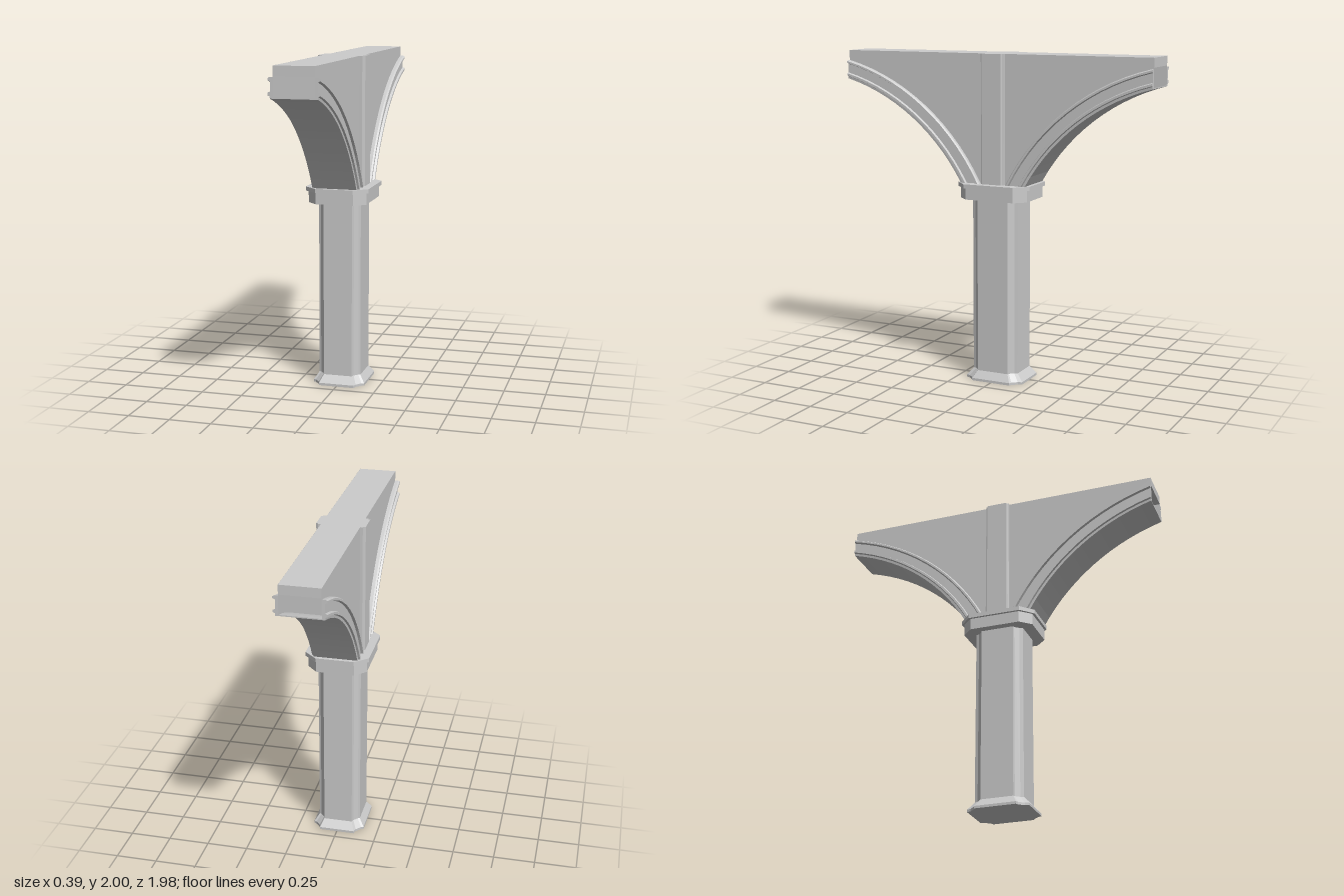
import * as THREE from 'three';

const solid = new THREE.MeshStandardMaterial({ color: 0xcccccc, flatShading: true });
const thin = new THREE.MeshStandardMaterial({ color: 0xcccccc, flatShading: true, side: THREE.DoubleSide });

// Arch circle in the z-y plane, the wall's end and the springing height
const ARCH = { z: 1.323, y: 0.59, r: 1.28 };
const END = 0.99, SPRING = 1.225, WALL = 0.115, STEPS = 14;

// Point on the arch at offset d outside the intrados, t from springing to end
function archPoint(d, t) {
  const r = ARCH.r + d;
  const a0 = Math.asin((SPRING - ARCH.y) / r);
  const a1 = Math.acos((ARCH.z - END) / r);
  const a = a0 + (a1 - a0) * t;
  return [ARCH.z - r * Math.cos(a), ARCH.y + r * Math.sin(a)];
}

// Closed solid through matching rings; profile is the 2D outline used for the caps
function loft(rings, profile) {
  const n = profile.length;
  const tris = [];
  const caps = THREE.ShapeUtils.triangulateShape(profile, []);
  const ccw = !THREE.ShapeUtils.isClockWise(profile);
  const last = (rings.length - 1) * n;
  for (const [a, b, c] of caps) {
    const [p, q] = ccw ? [b, c] : [c, b];
    // triangulation follows the outline's direction
    tris.push(ccw ? [a, q, p] : [a, p, q]);
    tris.push(ccw ? [last + a, last + p, last + q] : [last + a, last + q, last + p]);
  }
  for (let k = 0; k < rings.length - 1; k++) {
    for (let i = 0; i < n; i++) {
      const j = (i + 1) % n, a = k * n + i, b = k * n + j;
      tris.push([a, b, b + n], [a, b + n, a + n]);
    }
  }
  // Orient the caps with the sides, then turn everything outward
  const pts = rings.flat();
  const edges = new Set();
  tris.slice(2 * caps.length).forEach(([a, b, c]) => edges.add(a + ',' + b).add(b + ',' + c).add(c + ',' + a));
  const clash = t => t.some((v, i) => edges.has(v + ',' + t[(i + 1) % 3]));
  const flipLow = tris.slice(0, 2 * caps.length).some((t, i) => i % 2 === 0 && clash(t));
  const flipHigh = tris.slice(0, 2 * caps.length).some((t, i) => i % 2 === 1 && clash(t));
  for (let i = 0; i < 2 * caps.length; i++) {
    if (i % 2 ? flipHigh : flipLow) tris[i].reverse();
  }
  let volume = 0;
  for (const [a, b, c] of tris) volume += pts[a].dot(pts[b].clone().cross(pts[c]));
  if (volume < 0) tris.forEach(t => t.reverse());
  const g = new THREE.BufferGeometry().setFromPoints(tris.flat().map(i => pts[i]));
  g.computeVertexNormals();
  return g;
}

// Four-way mirrored outline in x-z from the points of one corner
function outline(corner) {
  const back = [...corner].reverse();
  return [
    ...corner,
    ...back.map(([x, z]) => [-x, z]),
    ...corner.map(([x, z]) => [-x, -z]),
    ...back.map(([x, z]) => [x, -z]),
  ].map(([x, z]) => new THREE.Vector2(x, z));
}

// Upright solid; each level is [y, x scale, z scale]
function upright(corner, levels) {
  const p = outline(corner);
  return loft(levels.map(([y, sx, sz]) => p.map(v => new THREE.Vector3(v.x * sx, y, v.y * sz))), p);
}

// Sweep of an [x, offset] profile along one arch
function archSweep(profile, sx, sz) {
  const rings = [];
  for (let i = 0; i <= STEPS; i++) {
    rings.push(profile.map(([x, d]) => {
      const [z, y] = archPoint(d, i / STEPS);
      return new THREE.Vector3(x * sx, y, z * sz);
    }));
  }
  return loft(rings, profile.map(p => new THREE.Vector2(...p)));
}

export function createModel() {
  const model = new THREE.Group();
  model.name = 'archedColumn';
  const add = (name, geometry, material = solid) => {
    const mesh = new THREE.Mesh(geometry, material);
    mesh.name = name;
    model.add(mesh);
    return mesh;
  };

  // Shaft with recessed corners and its flared base
  const shaft = [[0.13, 0.1], [0.118, 0.105], [0.095, 0.13], [0.088, 0.15]];
  add('shaft', upright(shaft, [[0.06, 1, 1], [1.13, 1, 1]]));
  add('base', upright(shaft, [[0, 1.23, 1.26], [0.015, 1.23, 1.26], [0.06, 1, 1]]));

  // Capital: octagonal block under a wider slab
  add('capitalBlock', upright([[0.178, 0.155], [0.115, 0.22]], [[1.13, 1, 1], [1.2, 1, 1]]));
  add('capitalSlab', upright([[0.193, 0.163], [0.115, 0.235]], [[1.2, 1, 1], [SPRING, 1, 1]]));

  // Pilaster rising through the wall, with stepped corners
  add('pilaster', upright([[0.145, 0.062], [0.133, 0.066], [0.13, 0.075], [0.1, 0.075]],
    [[SPRING, 1, 1], [2, 1, 1]]));

  // Wall sides, following the arch on both ends
  const arch = Array.from({ length: STEPS + 1 }, (_, i) => archPoint(0.05, i / STEPS));
  const wall = new THREE.Shape([
    ...arch.map(([z, y]) => new THREE.Vector2(z, y)),
    new THREE.Vector2(END, 2),
    new THREE.Vector2(-END, 2),
    ...[...arch].reverse().map(([z, y]) => new THREE.Vector2(-z, y)),
  ]);
  for (const s of [1, -1]) {
    const panel = new THREE.ShapeGeometry(wall);
    panel.rotateY(s * Math.PI / 2).translate(s * WALL, 0, 0);
    add(s > 0 ? 'leftWall' : 'rightWall', panel, thin);
  }

  // Top beam closing the hollow wall
  add('topBeam', new THREE.BoxGeometry(2 * WALL - 0.001, 0.055, 2 * END)).position.y = 1.9725;

  // Soffits and the moulded bands along each arch
  const soffit = [[-WALL, 0], [WALL, 0], [WALL, 0.006], [-WALL, 0.006]];
  const band = [
    [WALL, 0], [0.132, 0], [0.134, 0.014], [0.145, 0.018], [0.145, 0.031], [0.131, 0.036],
    [0.131, 0.088], [0.145, 0.093], [0.145, 0.104], [0.135, 0.11], [WALL, 0.11],
  ];
  for (const sz of [1, -1]) {
    const end = sz > 0 ? 'front' : 'back';
    add(end + 'Soffit', archSweep(soffit, 1, sz));
    for (const sx of [1, -1]) add(end + (sx > 0 ? 'Left' : 'Right') + 'ArchBand', archSweep(band, sx, sz));
  }
  return model;
}
